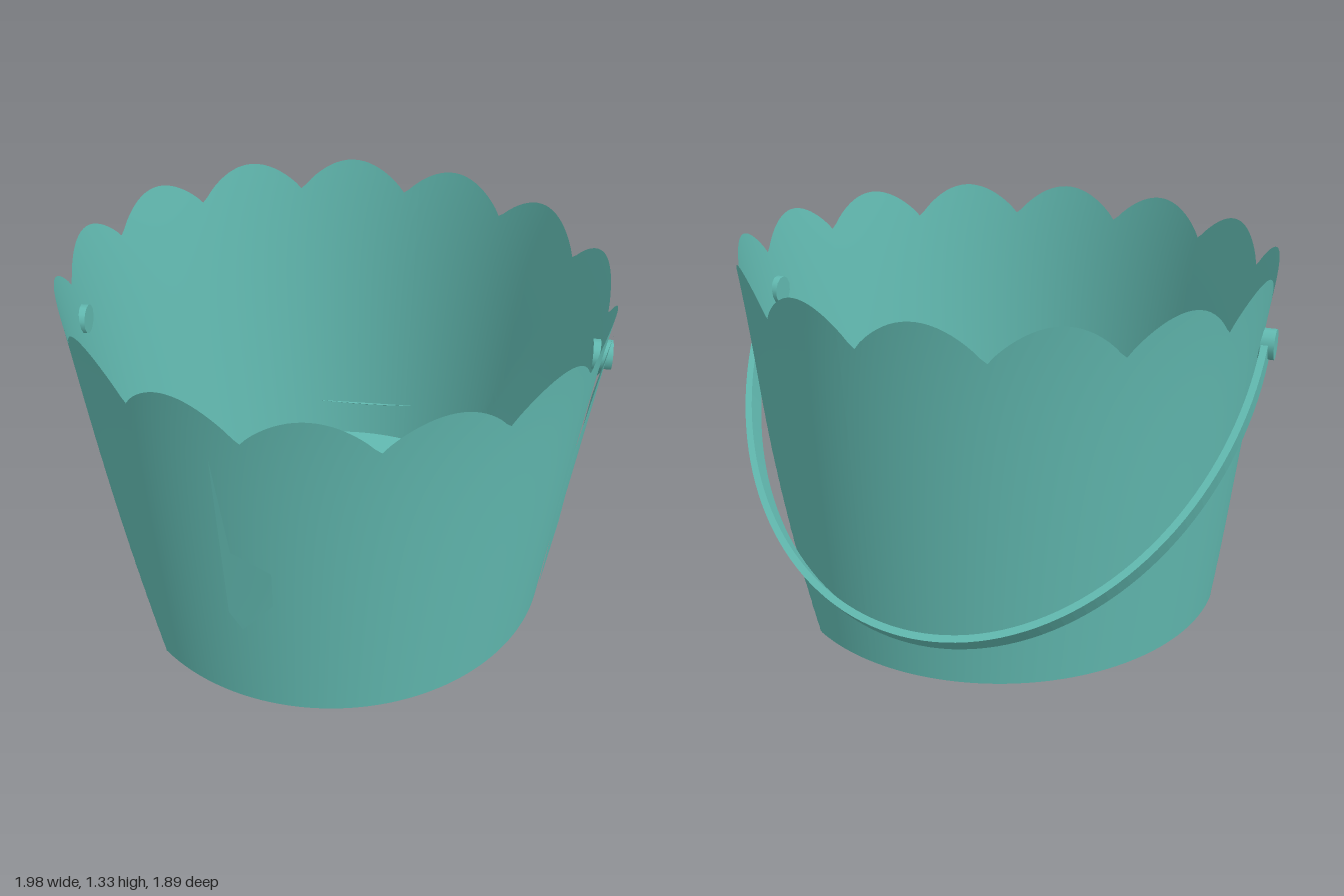
import * as THREE from 'three';

const TAU = Math.PI * 2;
const SCALLOPS = 14;
const BASE = 0.004;
// Flattened triangles in the wall: side and apex angles in degrees, apex height
const DENTS = [
  { from: 107, apex: 135, to: 161, height: 0.9 },
  { from: -76, apex: -52, to: -27, height: 1.2 },
];

// Point on the tapered round wall; theta runs from the front (+z) towards +x
function roundPoint(theta, y, out = 0) {
  const t = y / 1.33;
  const r = out + 0.012 * t ** 6;
  return new THREE.Vector3(
    Math.sin(theta) * (0.835 + 0.145 * t + r), y,
    Math.cos(theta) * (0.855 + 0.08 * t + r));
}

// Wall point, with each flattened triangle spanned straight between its edges
function wallPoint(theta, y) {
  for (const { from, apex, to, height } of DENTS) {
    const k = Math.min(1, y / height);
    const a = THREE.MathUtils.degToRad(THREE.MathUtils.lerp(from, apex, k));
    const b = THREE.MathUtils.degToRad(THREE.MathUtils.lerp(to, apex, k));
    if (theta > a && theta < b) {
      return roundPoint(a, y).lerp(roundPoint(b, y), (theta - a) / (b - a));
    }
  }
  return roundPoint(theta, y);
}

// Scalloped rim height
function rimHeight(theta) {
  return 1.2 + 0.13 * Math.abs(Math.sin((theta - 0.063) * SCALLOPS / 2)) ** 0.8;
}

function wallGeometry() {
  const cols = SCALLOPS * 20, rows = 40, pos = [], index = [];
  for (let i = 0; i <= cols; i++) {
    const theta = -Math.PI + TAU * i / cols;
    const high = rimHeight(theta);
    for (let j = 0; j <= rows; j++) {
      pos.push(...wallPoint(theta, BASE + (high - BASE) * j / rows).toArray());
      if (i < cols && j < rows) {
        const a = i * (rows + 1) + j, b = a + rows + 1;
        index.push(a, b, b + 1, a, b + 1, a + 1);
      }
    }
  }
  const g = new THREE.BufferGeometry();
  g.setAttribute('position', new THREE.Float32BufferAttribute(pos, 3));
  g.setIndex(index);
  g.computeVertexNormals();
  return g;
}

// Floor following the lower edge of the wall
function floorGeometry() {
  const edge = [];
  for (let i = 0; i < 140; i++) {
    const p = wallPoint(-Math.PI + TAU * i / 140, BASE);
    edge.push(new THREE.Vector2(p.x, -p.z));
  }
  return new THREE.ShapeGeometry(new THREE.Shape(edge)).rotateX(-Math.PI / 2).translate(0, BASE, 0);
}

// Thin panel laid on the wall; outline gives [sideways offset, height]
function panelGeometry(outline, theta) {
  const g = new THREE.ShapeGeometry(new THREE.Shape(outline.map(([u, y]) => new THREE.Vector2(u, y))));
  const p = g.attributes.position;
  for (let i = 0; i < p.count; i++) {
    const v = roundPoint(theta + p.getX(i) / 0.93, p.getY(i), 0.014);
    p.setXYZ(i, v.x, v.y, v.z);
  }
  g.computeVertexNormals();
  return g;
}

export function createModel() {
  const group = new THREE.Group();
  const teal = new THREE.MeshStandardMaterial({ color: 0x62bab1, side: THREE.DoubleSide });
  teal.name = 'teal';
  const add = (name, geometry) => {
    const mesh = new THREE.Mesh(geometry, teal);
    mesh.name = name;
    group.add(mesh);
    return mesh;
  };

  add('wall', wallGeometry());
  add('floor', floorGeometry());

  // Loose panels on the side and the front
  add('sidePanel', panelGeometry([[-0.07, 0.18], [0.11, 0.36], [0.2, 0.9], [0.06, 1.24],
    [0, 1.22], [-0.11, 0.83], [-0.12, 0.62]], Math.PI / 2));
  add('frontPanel', panelGeometry([[-0.03, 0.45], [0.02, 0.38], [0.06, 0.43], [0.14, 0.53],
    [0.14, 0.68], [0, 0.74], [-0.04, 1.13]], 0));

  // Flat carrying strap, swung down behind the bucket
  const rx = 0.98, ry = 1.26, thick = 0.025;
  const arc = new THREE.Shape();
  arc.absellipse(0, 0, rx, ry, 0, Math.PI, false);
  arc.absellipse(0, 0, rx - thick, ry - thick, Math.PI, 0, true);
  const strap = new THREE.ExtrudeGeometry(arc, { depth: 0.09, bevelEnabled: false, curveSegments: 40 });
  strap.translate(0, 0, -0.045);
  const axis = new THREE.Vector3(-0.968, 0, 0.25).normalize();
  const down = new THREE.Vector3(-0.18, -0.69, -0.697).normalize();
  down.addScaledVector(axis, -down.dot(axis)).normalize();
  const normal = axis.clone().cross(down);
  strap.applyMatrix4(new THREE.Matrix4().makeBasis(axis, down, normal).setPosition(0, 1.05, 0));
  add('handle', strap);

  // Handle pivots
  for (const side of [-1, 1]) {
    const pivot = add('handlePivot', new THREE.CylinderGeometry(0.055, 0.055, 0.07, 12));
    pivot.quaternion.setFromUnitVectors(new THREE.Vector3(0, 1, 0), axis);
    pivot.position.copy(axis).multiplyScalar(side * 0.965).setY(1.05);
  }
  return group;
}
